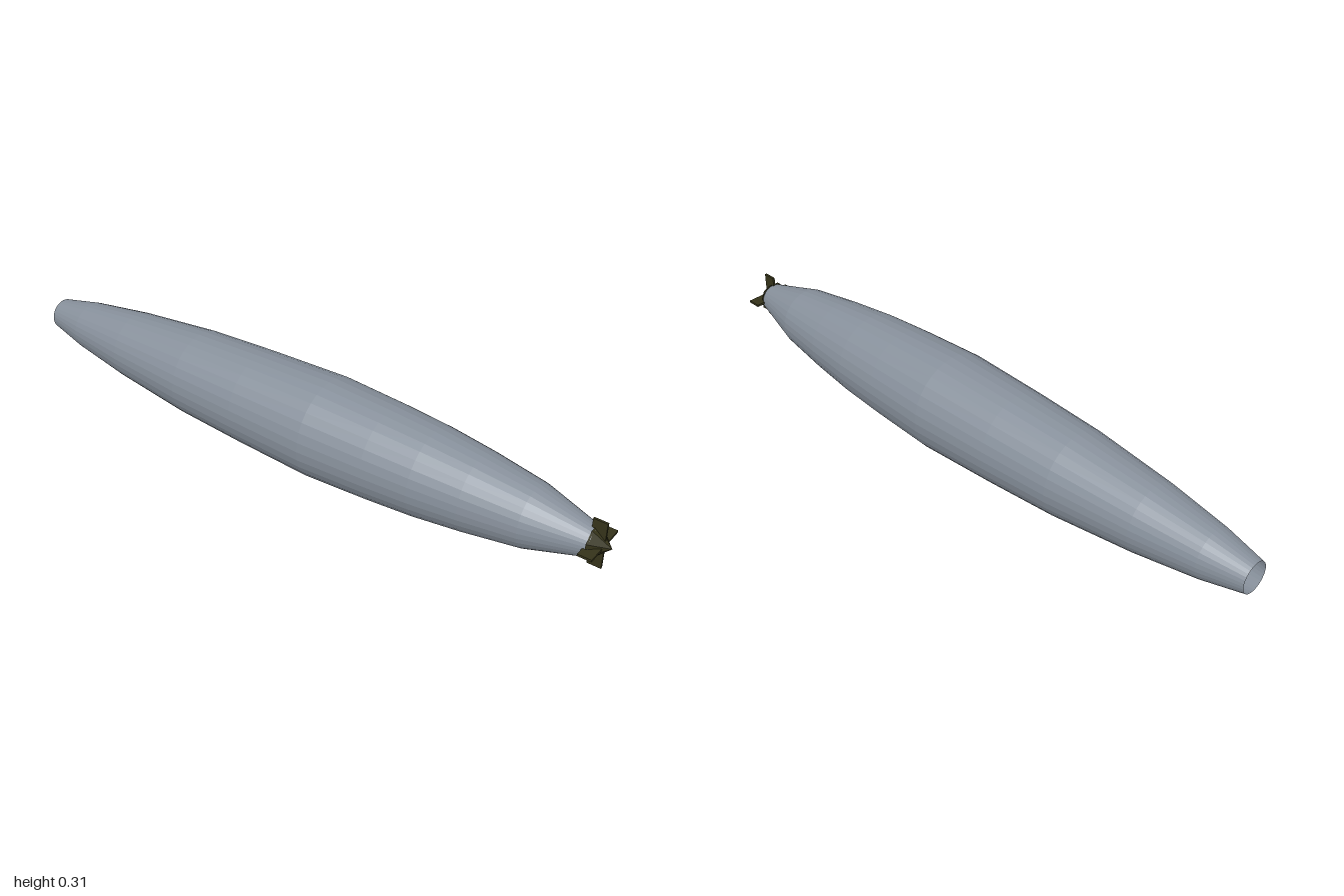
import * as THREE from 'three';

const AXIS_Y = 0.1565; // height of the long axis

export function createModel() {
  const hullGrey = new THREE.MeshStandardMaterial({ color: 0x87909b, flatShading: true, side: THREE.DoubleSide });
  hullGrey.name = 'hullGrey';
  const darkOlive = new THREE.MeshStandardMaterial({ color: 0x35331a, flatShading: true });
  darkOlive.name = 'darkOlive';

  const model = new THREE.Group();
  model.name = 'cigarHull';

  // Hull: 32-sided spindle along x, open at the -x end
  const profile = [
    [-1, 0.048], [-0.87, 0.077], [-0.67, 0.107], [-0.4, 0.135], [-0.17, 0.147], [0.09, 0.1565],
    [0.3, 0.147], [0.45, 0.137], [0.6, 0.12], [0.77, 0.095], [0.95, 0.044],
  ].map(([x, r]) => new THREE.Vector2(r, x));
  const hull = new THREE.Mesh(new THREE.LatheGeometry(profile, 32), hullGrey);
  hull.name = 'hull';
  hull.rotation.z = -Math.PI / 2;
  hull.position.y = AXIS_Y;
  model.add(hull);

  // Tail: eight-sided cone with four thin blades
  const tail = new THREE.Group();
  tail.name = 'tail';
  tail.position.y = AXIS_Y;
  model.add(tail);

  const coneGeometry = new THREE.ConeGeometry(0.0515, 0.055, 8);
  coneGeometry.rotateY(Math.PI / 8).rotateZ(-Math.PI / 2);
  const cone = new THREE.Mesh(coneGeometry, darkOlive);
  cone.name = 'tailCone';
  cone.position.x = 0.9725;
  tail.add(cone);

  const bladeGeometry = new THREE.BoxGeometry(0.042, 0.075, 0.007);
  bladeGeometry.translate(0.958, 0.0375, 0);
  for (let i = 0; i < 4; i++) {
    const blade = new THREE.Mesh(bladeGeometry, darkOlive);
    blade.name = 'tailBlade' + (i + 1);
    blade.rotation.x = (i * Math.PI) / 2;
    tail.add(blade);
  }

  return model;
}
